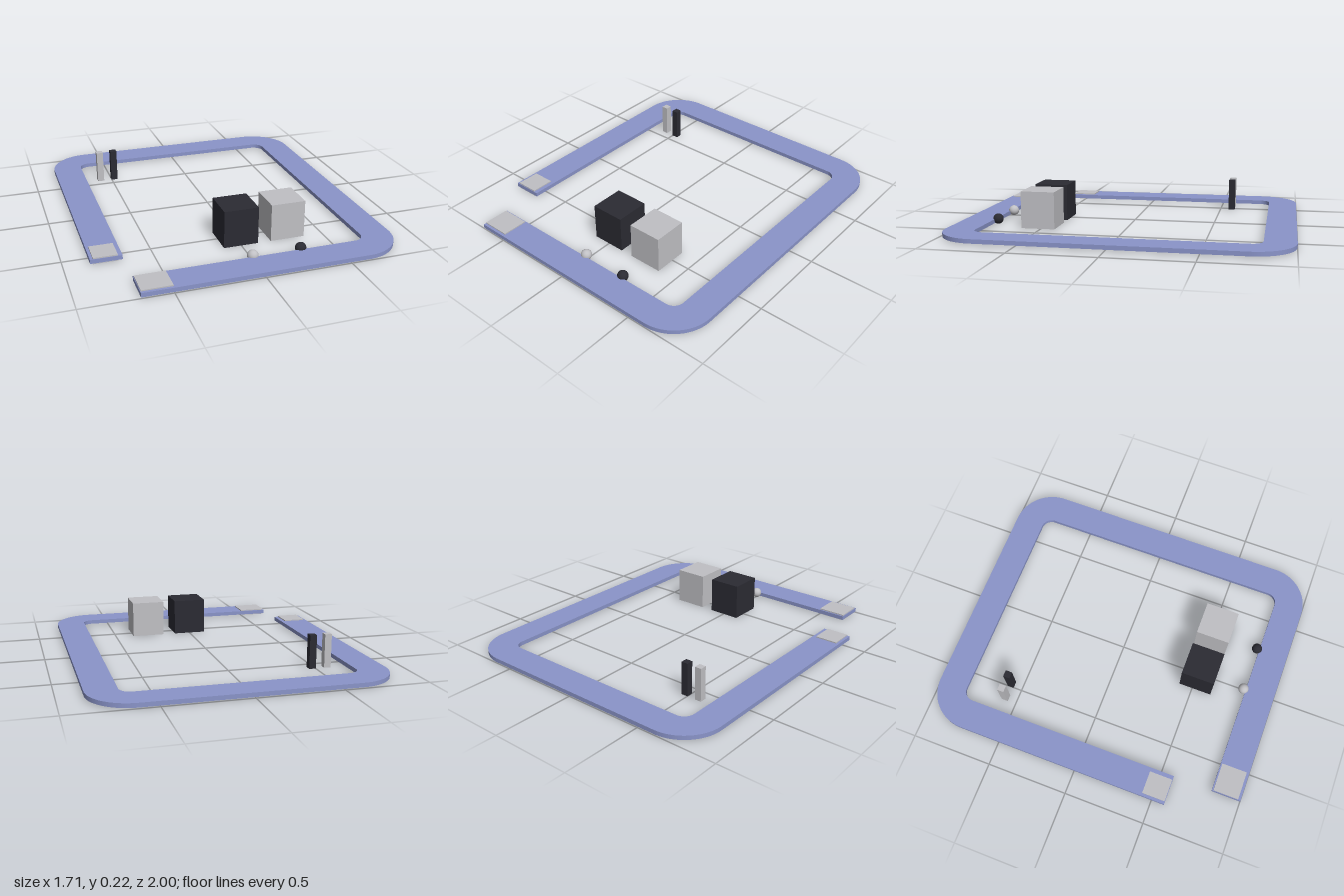
import * as THREE from 'three';

export function createModel() {
  const model = new THREE.Group();
  model.name = 'trackLayout';

  const material = (name, color) => {
    const m = new THREE.MeshStandardMaterial({ color });
    m.name = name;
    return m;
  };
  const blue = material('trackBlue', 0x8a94c9);
  const light = material('lightGrey', 0xc0c0c4);
  const dark = material('darkGrey', 0x2b2b33);

  const add = (name, geometry, mat, x, y, z) => {
    const mesh = new THREE.Mesh(geometry, mat);
    mesh.name = name;
    mesh.position.set(x, y, z);
    model.add(mesh);
    return mesh;
  };
  // Box standing on the floor
  const box = (name, mat, w, h, d, x, z) =>
    add(name, new THREE.BoxGeometry(w, h, d), mat, x, h / 2, z);

  // Open track: one flat strip with rounded corners (shape y is -z)
  const X = 0.855, Z = 1, W = 0.18, R = 0.245, r = 0.065;
  const x = X - W, z = Z - W, cx = X - R, cz = Z - R;
  const s = new THREE.Shape();
  s.moveTo(-x, -Z);
  s.lineTo(cx, -Z);
  s.absarc(cx, -cz, R, -Math.PI / 2, 0, false);
  s.lineTo(X, cz);
  s.absarc(cx, cz, R, 0, Math.PI / 2, false);
  s.lineTo(-cx, Z);
  s.absarc(-cx, cz, R, Math.PI / 2, Math.PI, false);
  s.lineTo(-X, -0.58);
  s.lineTo(-x, -0.58);
  s.lineTo(-x, cz);
  s.absarc(-cx, cz, r, Math.PI, Math.PI / 2, true);
  s.lineTo(cx, z);
  s.absarc(cx, cz, r, Math.PI / 2, 0, true);
  s.lineTo(x, -cz);
  s.absarc(cx, -cz, r, 0, -Math.PI / 2, true);
  s.lineTo(-x, -z);
  s.closePath();
  const strip = new THREE.ExtrudeGeometry(s, { depth: 0.025, bevelEnabled: false, curveSegments: 16 });
  strip.rotateX(-Math.PI / 2);
  add('track', strip, blue, 0, 0.006, 0);

  // Pads at the two ends of the track
  box('sideEndPad', light, 0.138, 0.038, 0.142, -0.769, 0.506);
  box('frontEndPad', light, 0.172, 0.038, 0.155, -0.586, 0.906);

  // Pair of blocks
  box('darkBlock', dark, 0.205, 0.223, 0.205, -0.001, 0.518);
  box('lightBlock', light, 0.205, 0.223, 0.205, 0.282, 0.518);

  // Pair of posts
  box('lightPost', light, 0.041, 0.2, 0.041, -0.573, -0.574);
  box('darkPost', dark, 0.041, 0.2, 0.041, -0.481, -0.574);

  // Balls at the inner edge of the track
  const ball = new THREE.SphereGeometry(0.032, 24, 16);
  add('lightBall', ball, light, -0.002, 0.032, 0.803);
  add('darkBall', ball, dark, 0.282, 0.032, 0.803);

  return model;
}
